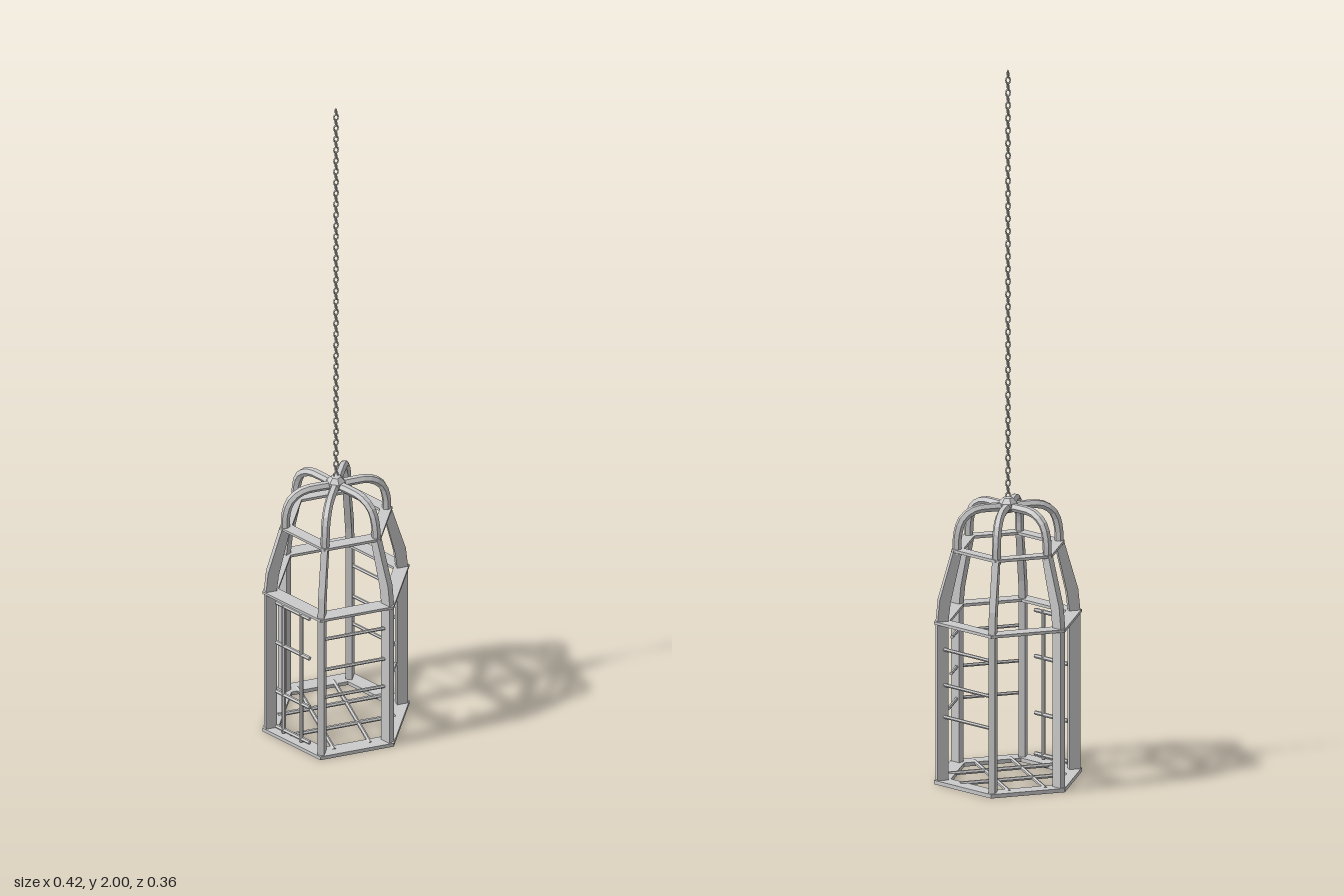
import * as THREE from 'three';

const mat = new THREE.MeshStandardMaterial({ color: 0xcccccc, flatShading: true });

function add(parent, geometry, name) {
  const mesh = new THREE.Mesh(geometry, mat);
  mesh.name = name;
  parent.add(mesh);
  return mesh;
}

// Corner of the hexagon: corner 0 on +x, then turning towards +z
function corner(i, radius, y) {
  const a = (i * Math.PI) / 3;
  return new THREE.Vector3(Math.cos(a) * radius, y, Math.sin(a) * radius);
}

// Round bar between two points
function bar(parent, a, b, radius, name) {
  const dir = b.clone().sub(a);
  const mesh = add(parent, new THREE.CylinderGeometry(radius, radius, dir.length(), 6), name);
  mesh.position.copy(a).add(b).multiplyScalar(0.5);
  mesh.quaternion.setFromUnitVectors(new THREE.Vector3(0, 1, 0), dir.normalize());
  return mesh;
}

// Flat hexagonal band with a hexagonal opening
function hexRing(parent, outer, inner, y, thickness, name) {
  const points = (r) => [0, 1, 2, 3, 4, 5].map((i) => {
    const p = corner(i, r, 0);
    return new THREE.Vector2(p.x, p.z);
  });
  const shape = new THREE.Shape(points(outer));
  shape.holes.push(new THREE.Path(points(inner)));
  const geo = new THREE.ExtrudeGeometry(shape, { depth: thickness, bevelEnabled: false });
  geo.rotateX(-Math.PI / 2);
  add(parent, geo, name).position.y = y;
}

export function createModel() {
  const model = new THREE.Group();
  model.name = 'hangingCage';

  // Horizontal bands
  hexRing(model, 0.21, 0.162, 0, 0.011, 'bottomRing');
  hexRing(model, 0.21, 0.165, 0.451, 0.008, 'middleRing');
  hexRing(model, 0.161, 0.125, 0.651, 0.008, 'upperRing');

  // Flat posts leaning inwards above the middle band, then arching to the hub
  const profile = [[0.172, 0.005], [0.203, 0.005], [0.203, 0.46], [0.197, 0.52],
    [0.157, 0.657], [0.132, 0.657], [0.166, 0.51], [0.172, 0.46]];
  const postGeo = new THREE.ExtrudeGeometry(
    new THREE.Shape(profile.map(([r, y]) => new THREE.Vector2(r, y))),
    { depth: 0.018, bevelEnabled: false });
  postGeo.translate(0, 0, -0.009);
  const archPath = new THREE.CatmullRomCurve3(
    [[0.145, 0.645], [0.143, 0.7], [0.128, 0.742], [0.094, 0.765], [0.05, 0.768], [0, 0.766]]
      .map(([r, y]) => new THREE.Vector3(r, y, 0)));
  const archGeo = new THREE.TubeGeometry(archPath, 12, 0.0125, 6);
  for (let i = 0; i < 6; i++) {
    const rib = new THREE.Group();
    rib.name = 'rib';
    rib.rotation.y = (-i * Math.PI) / 3;
    add(rib, postGeo, 'post');
    add(rib, archGeo, 'arch');
    model.add(rib);
  }

  // Side bars: two full faces, and one face with broken stubs
  const heights = [0.19, 0.28, 0.38];
  const stubLengths = [0.58, 0.42, 0.36];
  heights.forEach((y, k) => {
    bar(model, corner(1, 0.187, y), corner(2, 0.187, y), 0.005, 'frontBar');
    bar(model, corner(5, 0.187, y), corner(0, 0.187, y), 0.005, 'sideBar');
    const start = corner(1, 0.187, y);
    const end = start.clone().lerp(corner(0, 0.187, y), stubLengths[k]);
    bar(model, start, end, 0.005, 'brokenBar');
  });

  // Barred door on the front face beside the -x corner
  const door = new THREE.Group();
  door.name = 'door';
  model.add(door);
  const onDoor = (t, y) => corner(3, 0.19, y).lerp(corner(2, 0.19, y), t);
  for (const y of [0.025, 0.14, 0.3, 0.43]) {
    bar(door, onDoor(0.13, y), onDoor(0.77, y), 0.006, 'doorCrossbar');
  }
  for (const t of [0.27, 0.61]) {
    bar(door, onDoor(t, 0.015), onDoor(t, 0.435), 0.006, 'doorUpright');
  }

  // Floor grid
  const v = (x, y, z) => new THREE.Vector3(x, y, z);
  for (const x of [-0.057, 0.046]) {
    bar(model, v(x, 0.008, -0.158), v(x, 0.008, 0.158), 0.006, 'floorBar');
  }
  for (const z of [-0.049, 0.055]) {
    bar(model, v(-0.15, 0.01, z), v(0.15, 0.01, z), 0.006, 'floorBar');
  }

  // Six-sided hub where the arches meet
  const hubProfile = [[0, 0.75], [0.016, 0.752], [0.026, 0.764], [0.026, 0.778], [0.014, 0.792], [0, 0.796]];
  add(model, new THREE.LatheGeometry(hubProfile.map(([r, y]) => new THREE.Vector2(r, y)), 6), 'hub');

  // Chain of alternating links up to the top
  const chain = new THREE.Group();
  chain.name = 'chain';
  model.add(chain);
  const linkGeo = new THREE.TorusGeometry(0.006, 0.002, 4, 10);
  linkGeo.scale(1, 1.6, 1);
  const count = 68;
  const first = 0.797;
  const top = 2 - 0.0128;
  for (let i = 0; i < count; i++) {
    const link = add(chain, linkGeo, 'chainLink');
    link.position.y = first + ((top - first) * i) / (count - 1);
    link.rotation.y = i % 2 ? Math.PI / 2 : 0;
  }
  return model;
}
